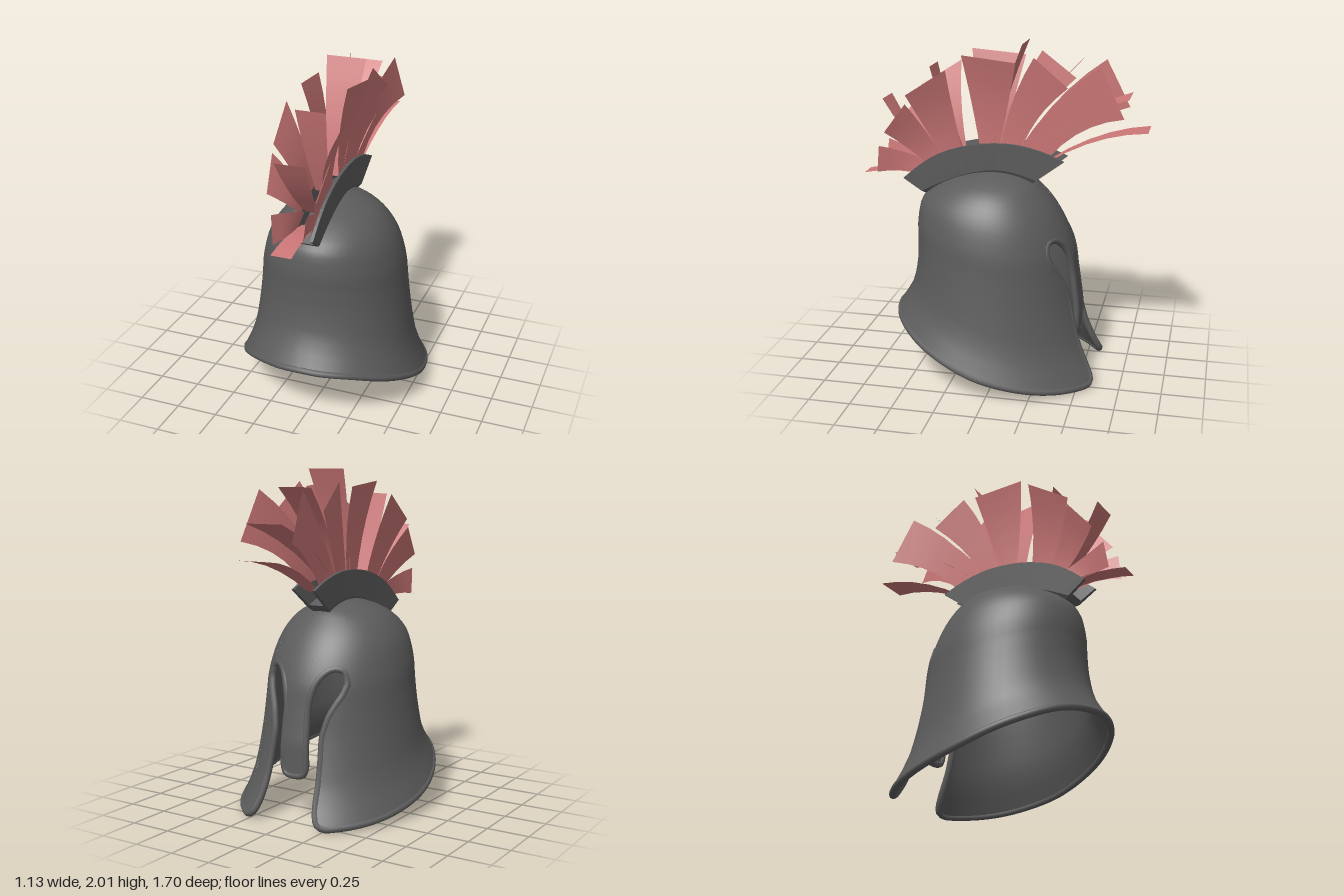
import * as THREE from 'three';
import { mergeGeometries } from 'three/addons/utils/BufferGeometryUtils.js';

const V = (x, y, z) => new THREE.Vector3(x, y, z);
const TOP = 1.24, THICK = 0.03, MID_Z = 0.04;

// Smooth curve y(x) through [x, y] pairs
function curve(pts) {
  const slope = pts.map((p, i) => {
    const a = pts[Math.max(i - 1, 0)], b = pts[Math.min(i + 1, pts.length - 1)];
    return (b[1] - a[1]) / (b[0] - a[0]);
  });
  return (x) => {
    let i = 0;
    while (i < pts.length - 2 && x > pts[i + 1][0]) i++;
    const h = pts[i + 1][0] - pts[i][0];
    const t = THREE.MathUtils.clamp((x - pts[i][0]) / h, 0, 1), t2 = t * t, t3 = t2 * t;
    return (2 * t3 - 3 * t2 + 1) * pts[i][1] + (t3 - 2 * t2 + t) * h * slope[i]
      + (3 * t2 - 2 * t3) * pts[i + 1][1] + (t3 - t2) * h * slope[i + 1];
  };
}

// Bowl radii from crown (q = 0) to rim (q = 1): side, face and neck
const Q = [0, 0.2, 0.3, 0.45, 0.6, 0.7, 0.8, 0.9, 0.95, 1];
const profile = (r) => curve(r.map((v, i) => [Q[i], v]));
const sideR = profile([0, 0.19, 0.28, 0.37, 0.42, 0.435, 0.455, 0.485, 0.515, 0.56]);
const faceR = profile([0, 0.21, 0.28, 0.385, 0.47, 0.495, 0.525, 0.58, 0.63, 0.70]);
const neckR = profile([0, 0.21, 0.315, 0.445, 0.48, 0.48, 0.485, 0.515, 0.555, 0.61]);

// Edge heights by angle from the face centre
const rim = curve([[0, 0.02], [0.52, 0.02], [0.9, 0.035], [1.2, 0.065], [1.57, 0.125], [2.1, 0.24], [2.6, 0.335], [3.15, 0.37]]);
const cheekBottom = curve([[0.39, 0.12], [0.41, 0.06], [0.45, 0.032], [0.52, 0.02]]);
const brow = curve([[0.17, 0.66], [0.22, 0.76], [0.3, 0.83], [0.45, 0.88], [0.6, 0.88], [0.67, 0.855], [0.7, 0.8]]);
const eyeBottom = curve([[0.39, 0.5], [0.45, 0.6], [0.55, 0.68], [0.65, 0.745], [0.7, 0.8]]);
const noseBottom = curve([[0, 0.26], [0.1, 0.265], [0.15, 0.28], [0.17, 0.31]]);
const NOSE = 0.17, CHEEK = 0.39, EYE = 0.7;

const fold = (a) => Math.acos(Math.cos(a));
const low = (a) => (a < 0.52 ? cheekBottom(a) : rim(a));
const toQ = (a, y) => Math.sqrt(Math.max(0, (TOP - y) / (TOP - rim(a))));

// Bowl point for an angle and q; the nose guard stays straight
function bowl(a, q) {
  const A = fold(a), base = rim(A), c = Math.cos(a);
  const k = Math.min(q, 0.8 + 0.2 * THREE.MathUtils.smoothstep(A, 0.2, 0.36));
  return V(sideR(k) * Math.sin(a), base + (1 - q * q) * (TOP - base), MID_Z - c * (c > 0 ? faceR(k) : neckR(k)));
}
function bowlNormal(a, q) {
  const k = THREE.MathUtils.clamp(q, 0.03, 0.99), e = 0.008;
  return bowl(a + e, k).sub(bowl(a - e, k)).cross(bowl(a, k + e).sub(bowl(a, k - e))).normalize();
}

function gridIndex(cols, rows, flip) {
  const idx = [];
  for (let i = 0; i < cols; i++) for (let j = 0; j < rows; j++) {
    const a = i * (rows + 1) + j, b = a + rows + 1;
    if (flip) idx.push(a, a + 1, b, b, a + 1, b + 1);
    else idx.push(a, b, a + 1, b, b + 1, a + 1);
  }
  return idx;
}
function makeGeometry(pos, idx, nor) {
  const g = new THREE.BufferGeometry();
  g.setAttribute('position', new THREE.Float32BufferAttribute(pos, 3));
  g.setIndex(idx);
  if (nor) g.setAttribute('normal', new THREE.Float32BufferAttribute(nor, 3));
  else g.computeVertexNormals();
  return g;
}

// Outer and inner skin between two angles and two edge heights
function patch(a0, a1, high, lowEdge, cols, rows) {
  return mergeGeometries([0, 1].map((inner) => {
    const pos = [], nor = [];
    for (let i = 0; i <= cols; i++) for (let j = 0; j <= rows; j++) {
      const a = a0 + (a1 - a0) * i / cols, A = fold(a);
      const q = THREE.MathUtils.lerp(toQ(A, high(A)), toQ(A, lowEdge(A)), j / rows);
      const n = bowlNormal(a, q), p = bowl(a, q).addScaledVector(n, -THICK * inner);
      pos.push(...p.toArray());
      nor.push(...n.multiplyScalar(inner ? -1 : 1).toArray());
    }
    return makeGeometry(pos, gridIndex(cols, rows, inner), nor);
  }));
}

// Rolled edge around rim, cheeks, eyes and nose guard
function edgeTrim() {
  const half = [];
  const run = (f, from, to, n) => {
    for (let i = 0; i <= n; i++) { const a = from + (to - from) * i / n; half.push([a, f(a)]); }
  };
  run(noseBottom, 0.03, NOSE, 5);
  half.push([NOSE, 0.42], [NOSE, 0.55]);
  run(brow, NOSE, EYE, 12);
  run(eyeBottom, 0.68, CHEEK, 8);
  half.push([CHEEK, 0.38], [CHEEK, 0.25]);
  run(cheekBottom, CHEEK, 0.52, 5);
  run(rim, 0.62, 3.08, 20);
  const all = [...half, ...half.map(([a, y]) => [-a, y]).reverse()];
  const path = all.map(([a, y]) => {
    const q = toQ(fold(a), y);
    return bowl(a, q).addScaledVector(bowlNormal(a, q), -THICK / 2);
  });
  return new THREE.TubeGeometry(new THREE.CatmullRomCurve3(path, true), 260, 0.021, 8, true);
}

// Open trough following the crown, holding the plume
function crestHolder() {
  const upper = new THREE.CatmullRomCurve3([[0.6, 1.17], [0.5, 1.255], [0.38, 1.33], [0.2, 1.39], [0.03, 1.41], [-0.1, 1.405], [-0.25, 1.37], [-0.37, 1.32]].map(([z, y]) => V(0, y, z)));
  const lower = new THREE.CatmullRomCurve3([[0.47, 1.08], [0.36, 1.13], [0.2, 1.19], [0.03, 1.22], [-0.1, 1.2], [-0.18, 1.175]].map(([z, y]) => V(0, y, z)));
  // [x, fraction of height] around the U section
  const section = [[-0.08, 1], [-0.072, 0.15], [-0.055, 0], [0.055, 0], [0.072, 0.15], [0.08, 1], [0.062, 1], [0.05, 0.3], [-0.05, 0.3], [-0.062, 1], [-0.08, 1]];
  const pos = [], N = 18, M = section.length;
  for (let i = 0; i <= N; i++) {
    const u = upper.getPoint(i / N), l = lower.getPoint(i / N);
    for (const [x, f] of section) { const p = l.clone().lerp(u, f); pos.push(x, p.y, p.z); }
  }
  const idx = gridIndex(N, M - 1, false);
  for (const o of [0, N * M]) {
    for (const [a, b, c, d] of [[0, 1, 8, 9], [1, 2, 3, 4], [1, 4, 7, 8], [4, 5, 6, 7]]) {
      const t = [a, b, c, a, c, d].map((k) => k + o);
      idx.push(...(o ? t.reverse() : t));
    }
  }
  return makeGeometry(pos, idx);
}

// Flat feather widening from base edge to tip edge, with a bow midway
function feather(b0, b1, t0, t1, bow) {
  const pos = [], N = 5;
  for (let i = 0; i <= N; i++) {
    const t = i / N, k = 4 * t * (1 - t);
    for (const [b, e] of [[b0, t0], [b1, t1]]) pos.push(...b.clone().lerp(e, t).addScaledVector(bow, k).toArray());
  }
  return makeGeometry(pos, gridIndex(N, 1, false));
}

export function createModel() {
  const model = new THREE.Group();
  const metal = new THREE.MeshStandardMaterial({ color: 0x5c5c5c });
  const metalFlat = new THREE.MeshStandardMaterial({ color: 0x5c5c5c, flatShading: true, side: THREE.DoubleSide });
  const red = new THREE.MeshStandardMaterial({ color: 0xcc7777, side: THREE.DoubleSide });
  const add = (name, geometry, material, parent = model) => {
    const mesh = new THREE.Mesh(geometry, material);
    mesh.name = name;
    parent.add(mesh);
  };
  const crown = () => TOP;

  // Helmet bowl
  add('bowl', patch(EYE, 2 * Math.PI - EYE, crown, low, 40, 24), metal);
  add('noseGuard', patch(-NOSE, NOSE, crown, noseBottom, 8, 24), metal);
  for (const s of [1, -1]) {
    const side = s > 0 ? 'left' : 'right';
    const span = (a, b) => (s > 0 ? [a, b] : [-b, -a]);
    add(side + 'Brow', patch(...span(NOSE, EYE), crown, brow, 12, 16), metal);
    add(side + 'CheekGuard', patch(...span(CHEEK, EYE), eyeBottom, low, 10, 16), metal);
  }
  add('edgeTrim', edgeTrim(), metal);
  add('crestHolder', crestHolder(), metalFlat);

  // Plume
  const plume = new THREE.Group();
  plume.name = 'plume';
  model.add(plume);
  // Crosswise feathers: base z, y, tip z, y, tip half width, bow z, y
  for (const [bz, by, tz, ty, w, oz, oy] of [
    [0.45, 1.19, 0.85, 1.185, 0.06, 0, 0.02], [0.40, 1.25, 0.71, 1.65, 0.09, 0.01, -0.02],
    [0.25, 1.32, 0.42, 1.85, 0.09, 0.01, 0], [0.06, 1.34, -0.13, 2.0, 0.12, 0.02, 0],
    [-0.06, 1.34, -0.45, 1.9, 0.11, 0.03, 0.02], [-0.12, 1.34, -0.74, 1.71, 0.12, 0.02, 0.04],
    [-0.26, 1.3, -0.85, 1.52, 0.1, 0, 0.045]]) {
    add('crossFeather', feather(V(0.045, by, bz), V(-0.045, by, bz), V(w, ty, tz), V(-w, ty, tz), V(0, oy, oz)), red, plume);
  }
  // Lengthwise feathers: two base corners, two tip corners (z, y), tip spread, bow z, y
  for (const [z0, y0, z1, y1, z2, y2, z3, y3, x, oz, oy] of [
    [0.5, 1.19, 0.4, 1.25, 0.76, 1.2, 0.74, 1.365, 0.1, 0, 0.01],
    [0.46, 1.26, 0.36, 1.31, 0.69, 1.46, 0.55, 1.64, 0.17, 0, 0],
    [0.36, 1.31, 0.24, 1.35, 0.55, 1.69, 0.3, 1.85, 0.19, 0.01, 0],
    [0.13, 1.36, 0.02, 1.37, 0.22, 1.93, -0.1, 1.9, 0.16, 0, 0],
    [0.01, 1.37, -0.1, 1.37, -0.2, 1.93, -0.4, 1.77, 0.16, 0.03, 0.01],
    [-0.1, 1.37, -0.28, 1.34, -0.58, 1.89, -0.72, 1.61, 0.17, 0.02, 0.04]]) {
    for (const s of [1, -1]) {
      add('sideFeather', feather(V(s * 0.05, y0, z0), V(s * 0.05, y1, z1), V(s * x * 0.85, y2, z2), V(s * x, y3, z3), V(-s * 0.02, oy, oz)), red, plume);
    }
  }
  return model;
}
